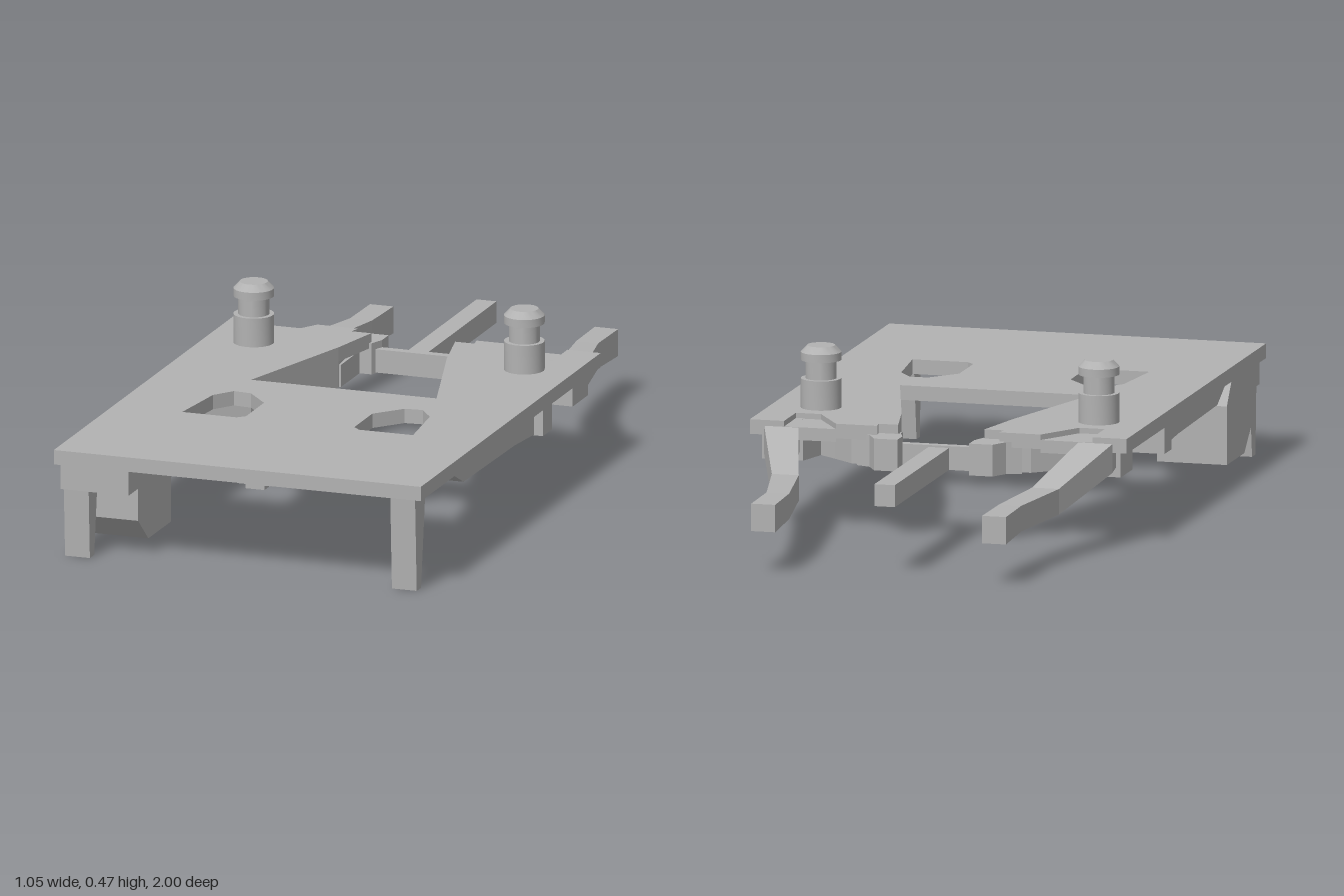
import * as THREE from 'three';
import { toCreasedNormals } from 'three/addons/utils/BufferGeometryUtils.js';

const grey = new THREE.MeshStandardMaterial({ color: 0xb2b2b2 });
grey.name = 'plain grey';

export function createModel() {
  const model = new THREE.Group();
  const add = (name, geometry) => {
    const mesh = new THREE.Mesh(geometry, grey);
    mesh.name = name;
    model.add(mesh);
    return mesh;
  };

  // Horizontal slab from an [x, z] outline
  const outline = (pts) => pts.map(([x, z]) => new THREE.Vector2(x, -z));
  const slab = (pts, y0, y1, holes = []) => {
    const shape = new THREE.Shape(outline(pts));
    holes.forEach((h) => shape.holes.push(new THREE.Path(outline(h))));
    return new THREE.ExtrudeGeometry(shape, { depth: y1 - y0, bevelEnabled: false })
      .rotateX(-Math.PI / 2).translate(0, y0, 0);
  };

  // Sideways prism from a [z, y] profile
  const prism = (pts, x0, x1) => {
    const shape = new THREE.Shape(pts.map(([z, y]) => new THREE.Vector2(-z, y)));
    return new THREE.ExtrudeGeometry(shape, { depth: x1 - x0, bevelEnabled: false })
      .rotateY(Math.PI / 2).translate(x0, 0, 0);
  };

  const box = (x0, x1, y0, y1, z0, z1) =>
    new THREE.BoxGeometry(x1 - x0, y1 - y0, z1 - z0)
      .translate((x0 + x1) / 2, (y0 + y1) / 2, (z0 + z1) / 2);

  // Rectangular bar running backwards through [z, xA, xB, bottom, top] stations
  const bar = (stations) => {
    const rings = stations.map(([z, a, b, y0, y1]) => {
      const x0 = Math.min(a, b), x1 = Math.max(a, b);
      return [[x0, y0, z], [x0, y1, z], [x1, y1, z], [x1, y0, z]];
    });
    const pos = [];
    const quad = (a, b, c, d) => pos.push(...a, ...b, ...c, ...a, ...c, ...d);
    for (let i = 0; i < rings.length - 1; i++) {
      for (let j = 0; j < 4; j++) {
        const k = (j + 1) % 4;
        quad(rings[i][j], rings[i][k], rings[i + 1][k], rings[i + 1][j]);
      }
    }
    quad(...[...rings[0]].reverse());
    quad(...rings[rings.length - 1]);
    const g = new THREE.BufferGeometry();
    g.setAttribute('position', new THREE.Float32BufferAttribute(pos, 3));
    g.computeVertexNormals();
    return g;
  };

  const flip = (pts, s) => pts.map(([x, z]) => [s * x, z]);
  const mirrored = (half) => [...half, ...flip(half, -1).reverse()];

  // Top plate with tapered rear opening, stepped rear edge and two windows
  const plateHalf = [
    [0.525, 1], [0.525, -0.4], [0.43, -0.4], [0.43, -0.28], [0.36, -0.28],
    [0.285, -0.4], [0.17, -0.4], [0.175, -0.37], [0.12, -0.37], [0.155, -0.21], [0.265, 0.17],
  ];
  const windowHole = [
    [0.33, 0.53], [0.175, 0.53], [0.155, 0.51], [0.155, 0.37], [0.22, 0.295], [0.27, 0.29], [0.31, 0.345],
  ];
  add('topPlate', slab(mirrored(plateHalf), 0.26, 0.3, [windowHole, flip(windowHole, -1)]));

  // Rear crossbar and central tongue
  add('rearCrossbar', box(-0.115, 0.115, 0.19, 0.255, -0.4, -0.375));
  add('centreTongue', box(-0.03, 0.027, 0.19, 0.25, -0.945, -0.39));

  // Small catch under the front edge
  add('frontCatch', box(-0.025, 0.065, 0.235, 0.26, 0.86, 0.92));
  add('frontCatchTip', box(-0.01, 0.045, 0.22, 0.24, 0.87, 0.91));

  // Pin profile: base, neck and chamfered head
  const pinProfile = [
    [0, 0.29], [0.055, 0.29], [0.055, 0.38], [0.042, 0.38], [0.042, 0.43],
    [0.055, 0.43], [0.055, 0.452], [0.038, 0.47], [0, 0.47],
  ].map(([r, y]) => new THREE.Vector2(r, y));

  for (const [s, side] of [[1, 'left'], [-1, 'right']]) {
    const span = (a, b) => [Math.min(s * a, s * b), Math.max(s * a, s * b)];

    // Front rail with sloping nose
    add(`${side}FrontRail`, prism(
      [[0.71, 0.26], [0.6, 0.205], [0.2, 0.2], [0.05, 0.19], [0.05, 0.26]], ...span(0.385, 0.5)));

    // Rear rail following the opening, with a side pocket under the pin
    add(`${side}RearRail`, slab(flip([
      [0.385, 0.25], [0.5, 0.05], [0.525, 0.05], [0.525, -0.02], [0.41, -0.02], [0.41, -0.25],
      [0.5, -0.25], [0.5, -0.37], [0.385, -0.37], [0.36, -0.28], [0.31, -0.32], [0.25, -0.37],
      [0.17, -0.385], [0.155, -0.21], [0.265, 0.17],
    ], s), 0.188, 0.262));

    // Lowered web filling the stepped rear edge
    add(`${side}RearWeb`, slab(flip(
      [[0.43, -0.28], [0.36, -0.28], [0.285, -0.4], [0.385, -0.4], [0.43, -0.4]], s), 0.25, 0.285));

    // Rear hook beside the opening and its inner clip
    add(`${side}RearHook`, slab(flip([
      [0.23, -0.39], [0.19, -0.405], [0.165, -0.45], [0.1, -0.45], [0.1, -0.4],
      [0.115, -0.36], [0.19, -0.36],
    ], s), 0.188, 0.275));
    add(`${side}InnerClip`, box(...span(0.15, 0.19), 0.188, 0.25, -0.37, -0.215));

    // Long bent arm reaching backwards
    add(`${side}RearArm`, bar([
      [-0.28, 0.49, 0.41, 0.24, 0.286],
      [-0.4, 0.485, 0.39, 0.205, 0.284],
      [-0.63, 0.4, 0.325, 0.13, 0.2],
      [-0.845, 0.355, 0.292, 0.122, 0.192],
      [-1, 0.355, 0.288, 0.115, 0.19],
    ].map(([z, a, b, y0, y1]) => [z, s * a, s * b, y0, y1])));

    // Pin standing on the plate
    const pin = add(`${side}Pin`, toCreasedNormals(
      new THREE.LatheGeometry([...pinProfile], 28), 0.5));
    pin.position.set(s * 0.387, 0, -0.182);

    // Tapered front foot
    add(`${side}FrontFoot`, prism(
      [[0.985, 0.262], [0.972, 0], [0.938, 0], [0.905, 0.262]], ...span(0.432, 0.503)));
  }

  // Deep block under the front right corner
  add('cornerBlock', prism([
    [0.99, 0.262], [0.99, 0.19], [0.915, 0.19], [0.915, 0.1], [0.835, 0.03],
    [0.66, 0.03], [0.66, 0.19], [0.715, 0.262],
  ], -0.51, -0.315));

  return model;
}
